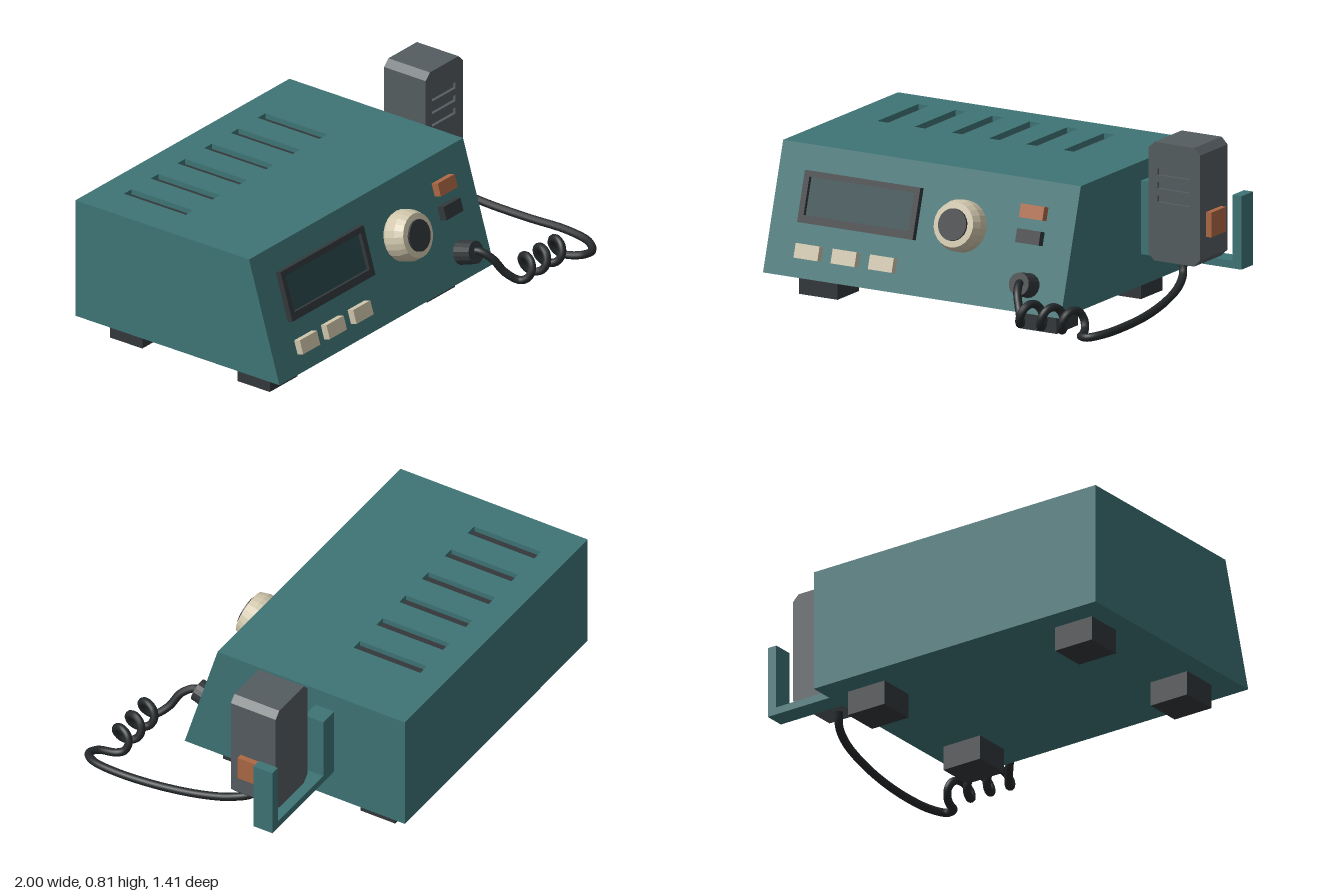
import * as THREE from 'three';

const mat = (color) => new THREE.MeshStandardMaterial({ color, flatShading: true });
const TEAL = mat(0x3e7476), DARK = mat(0x33383b), CREAM = mat(0xcfc5ab);
const ORANGE = mat(0xad6844), GREY = mat(0x555d60), GLASS = mat(0x29474a);
const CABLE = new THREE.MeshStandardMaterial({ color: 0x24282a });

function add(parent, name, geometry, material, x = 0, y = 0, z = 0) {
  const m = new THREE.Mesh(geometry, material);
  m.name = name;
  m.position.set(x, y, z);
  parent.add(m);
  return m;
}
const box = (w, h, d) => new THREE.BoxGeometry(w, h, d);
const poly = (pts) => new THREE.Shape(pts.map(([x, y]) => new THREE.Vector2(x, y)));
const rect = (x0, y0, x1, y1) => [[x0, y0], [x1, y0], [x1, y1], [x0, y1]];
const extrude = (shape, depth) => new THREE.ExtrudeGeometry(shape, { depth, bevelEnabled: false });
function holed(outline, holes) {
  const s = poly(outline);
  holes.forEach((h) => s.holes.push(new THREE.Path(poly(h).getPoints().reverse())));
  return s;
}

// Cabinet dimensions; the front leans back by SLOPE per unit of height
const L = -1, R = 0.495, BOTTOM = 0.11, TOP = 0.66, BACK = -0.705, SLOPE = 0.3, LID = 0.03;
const frontZ = (y) => 0.4 - (y - BOTTOM) * SLOPE;

function cabinet() {
  const g = new THREE.Group();
  g.name = 'cabinet';
  const y1 = TOP - LID;
  const profile = poly([[-frontZ(BOTTOM), BOTTOM], [-BACK, BOTTOM], [-BACK, y1], [-frontZ(y1), y1]]);
  add(g, 'case', extrude(profile, R - L).rotateY(Math.PI / 2), TEAL, L);

  // Lid with vent slots; its front edge follows the slope
  const slotX = [0, 1, 2, 3, 4, 5].map((i) => -0.795 + i * 0.1867);
  const slots = slotX.map((x) => rect(x - 0.027, 0.245, x + 0.027, 0.58));
  const lid = extrude(holed(rect(L, -frontZ(TOP), R, -BACK), slots), LID).rotateX(-Math.PI / 2);
  const p = lid.attributes.position;
  for (let i = 0; i < p.count; i++) {
    if (p.getZ(i) > 0.2) p.setZ(i, frontZ(p.getY(i) + y1));
  }
  lid.computeVertexNormals();
  add(g, 'lid', lid, TEAL, 0, y1);
  slotX.forEach((x) => add(g, 'ventFloor', box(0.054, 0.008, 0.335), DARK, x, y1 + 0.002, -0.4125));

  for (const x of [-0.8025, 0.2975])
    for (const z of [0.1825, -0.5075])
      add(g, 'foot', box(0.194, 0.115, 0.174), DARK, x, 0.0575, z);
  return g;
}

// Controls in panel coordinates: x across, y up the slope, z outward
function frontPanel() {
  const g = new THREE.Group();
  g.name = 'frontPanel';
  g.position.set(0, BOTTOM, frontZ(BOTTOM));
  g.rotation.x = -Math.atan(SLOPE);

  const frame = holed(rect(-0.855, 0.236, -0.275, 0.462), [rect(-0.828, 0.27, -0.302, 0.436)]);
  add(g, 'displayFrame', extrude(frame, 0.027), DARK);
  add(g, 'displayScreen', box(0.53, 0.17, 0.01), GLASS, -0.565, 0.353, 0.004);

  for (const x of [-0.783, -0.597, -0.41]) add(g, 'keyButton', box(0.12, 0.064, 0.032), CREAM, x, 0.115, 0.016);
  add(g, 'powerSwitch', box(0.118, 0.06, 0.035), ORANGE, 0.293, 0.433, 0.0175);
  add(g, 'modeSwitch', box(0.118, 0.06, 0.035), DARK, 0.293, 0.325, 0.0175);

  const knob = [[0, 0], [0.105, 0], [0.113, 0.015], [0.113, 0.065], [0.098, 0.105], [0, 0.11]];
  const lathe = new THREE.LatheGeometry(knob.map(([x, y]) => new THREE.Vector2(x, y)), 24);
  add(g, 'tuningKnob', lathe.rotateX(Math.PI / 2), CREAM, -0.04, 0.328, 0);
  add(g, 'knobCap', new THREE.CylinderGeometry(0.07, 0.07, 0.02, 24).rotateX(Math.PI / 2), DARK, -0.04, 0.328, 0.106);

  add(g, 'cableSocket', new THREE.CylinderGeometry(0.05, 0.054, 0.085, 16).rotateX(Math.PI / 2), DARK, 0.313, 0.12, 0.0425);
  return g;
}

function microphone() {
  const g = new THREE.Group();
  g.name = 'microphone';
  const x0 = 0.64, x1 = 0.9, y0 = 0.285, y1 = 0.81, c = 0.03;
  const outline = [[x0 + c, y0], [x1 - c, y0], [x1, y0 + c], [x1, y1 - c], [x1 - c, y1], [x0 + c, y1], [x0, y1 - c], [x0, y0 + c]];
  const grille = [0.56, 0.62, 0.68].map((y) => rect(0.685, y - 0.015, 0.85, y + 0.015));
  add(g, 'microphoneBody', extrude(poly(outline), 0.21), GREY, 0, 0, -0.305);
  add(g, 'microphoneGrille', extrude(holed(outline, grille), 0.015), GREY, 0, 0, -0.095);
  add(g, 'talkButton', box(0.035, 0.11, 0.12), ORANGE, 0.908, 0.465, -0.19);
  return g;
}

// Cord: socket lead-in, three coils, then a sweep back to the microphone
function cord() {
  const pts = [[0.313, 0.24, 0.42], [0.32, 0.255, 0.455], [0.345, 0.225, 0.51], [0.38, 0.16, 0.55]];
  for (let i = -4; i <= 20; i++) {
    const t = (i * Math.PI) / 4;
    pts.push([0.47 + (0.105 * i) / 8, 0.17 + 0.047 * Math.cos(t), 0.6 - 0.047 * Math.sin(t)]);
  }
  pts.push([0.765, 0.13, 0.672], [0.81, 0.135, 0.688], [0.858, 0.145, 0.635], [0.88, 0.152, 0.5], [0.868, 0.155, 0.3],
    [0.843, 0.172, 0.1], [0.817, 0.2, -0.04], [0.787, 0.235, -0.125], [0.77, 0.295, -0.147]);
  const curve = new THREE.CatmullRomCurve3(pts.map((q) => new THREE.Vector3(...q)));
  return new THREE.TubeGeometry(curve, 260, 0.018, 10);
}

export function createModel() {
  const model = new THREE.Group();
  model.name = 'deskRadio';
  model.add(cabinet(), frontPanel(), microphone());
  // U-shaped holder on the side of the cabinet
  const bracket = poly([[R, 0.25], [1, 0.25], [1, 0.575], [0.955, 0.575], [0.955, 0.283], [0.583, 0.283], [0.583, 0.575], [R, 0.575]]);
  add(model, 'microphoneBracket', extrude(bracket, 0.095), TEAL, 0, 0, -0.35);
  add(model, 'coiledCord', cord(), CABLE);
  return model;
}
